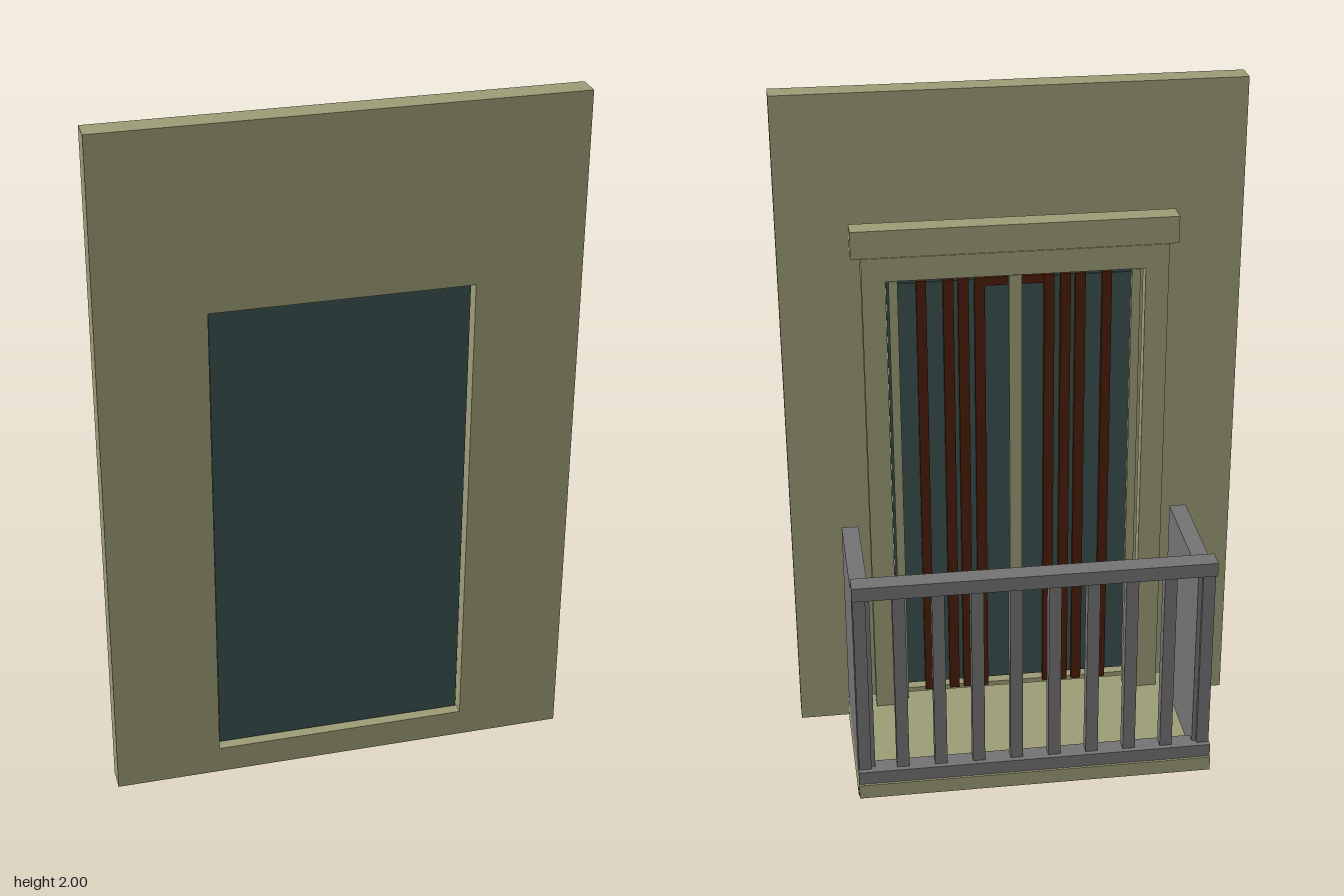
import * as THREE from 'three';

const mat = (name, color) => {
  const m = new THREE.MeshStandardMaterial({ color });
  m.name = name;
  return m;
};

export function createModel() {
  const model = new THREE.Group();
  model.name = 'balconyWindow';
  const stone = mat('olive stone', 0x9f9e78);
  const metal = mat('grey railing', 0x757575);
  const glass = mat('teal glass', 0x3c5252);
  const wood = mat('dark red wood', 0x4e1e08);

  // box given by its minimum and maximum on each axis
  const box = (name, material, x0, x1, y0, y1, z0, z1) => {
    const mesh = new THREE.Mesh(new THREE.BoxGeometry(x1 - x0, y1 - y0, z1 - z0), material);
    mesh.position.set((x0 + x1) / 2, (y0 + y1) / 2, (z0 + z1) / 2);
    mesh.name = name;
    model.add(mesh);
  };
  // the same box on both sides
  const pair = (name, material, x0, x1, ...rest) => {
    box(name + 'Left', material, x0, x1, ...rest);
    box(name + 'Right', material, -x1, -x0, ...rest);
  };

  // wall with a through opening
  const rect = (path, x, y0, y1) =>
    path.moveTo(-x, y0).lineTo(x, y0).lineTo(x, y1).lineTo(-x, y1).closePath();
  const outline = new THREE.Shape();
  rect(outline, 0.667, 0, 2);
  const hole = new THREE.Path();
  rect(hole, 0.366, 0.081, 1.48);
  outline.holes.push(hole);
  const wall = new THREE.Mesh(
    new THREE.ExtrudeGeometry(outline, { depth: 0.07, bevelEnabled: false }), stone);
  wall.position.z = 0.215;
  wall.name = 'wall';
  model.add(wall);

  // door surround and cornice
  pair('jamb', stone, 0.37, 0.437, 0.08, 1.48, 0.127, 0.168);
  box('lintel', stone, -0.437, 0.437, 1.48, 1.55, 0.127, 0.19);
  box('cornice', stone, -0.465, 0.465, 1.55, 1.63, 0.13, 0.195);

  // pane set near the wall front, and the glazed double door behind it
  box('frontPane', glass, -0.36, 0.36, 0.087, 1.475, 0.254, 0.26);
  pair('doorPane', glass, 0.01, 0.345, 0.12, 1.45, 0.184, 0.19);
  pair('doorStile', stone, 0.335, 0.36, 0.085, 1.47, 0.15, 0.168);
  box('doorMullion', stone, -0.018, 0.018, 0.085, 1.47, 0.15, 0.168);

  // vertical wooden slats on the balcony side of the glass
  for (const [x, w] of [[0.267, 0.028], [0.19, 0.03], [0.147, 0.03], [0.1, 0.03]]) {
    pair('slat', wood, x - w / 2, x + w / 2, 0.1, 1.46, 0.168, 0.182);
  }
  pair('slatTopBar', wood, 0.02, 0.11, 1.435, 1.46, 0.17, 0.18);

  // balcony floor with an overhanging lip
  box('floorBase', stone, -0.52, 0.52, 0, 0.036, -0.22, 0.195);
  box('floorSlab', stone, -0.52, 0.52, 0.036, 0.08, -0.285, 0.195);

  // railing
  pair('sidePanel', metal, 0.47, 0.52, 0.08, 0.693, -0.25, 0.162);
  box('topRail', metal, -0.52, 0.52, 0.693, 0.735, -0.278, -0.22);
  box('bottomRail', metal, -0.52, 0.52, 0.08, 0.12, -0.278, -0.22);
  const count = 10;
  for (let i = 0; i < count; i++) {
    const x = -0.5 + i / (count - 1);
    box('baluster', metal, x - 0.018, x + 0.018, 0.12, 0.693, -0.262, -0.225);
  }
  return model;
}
